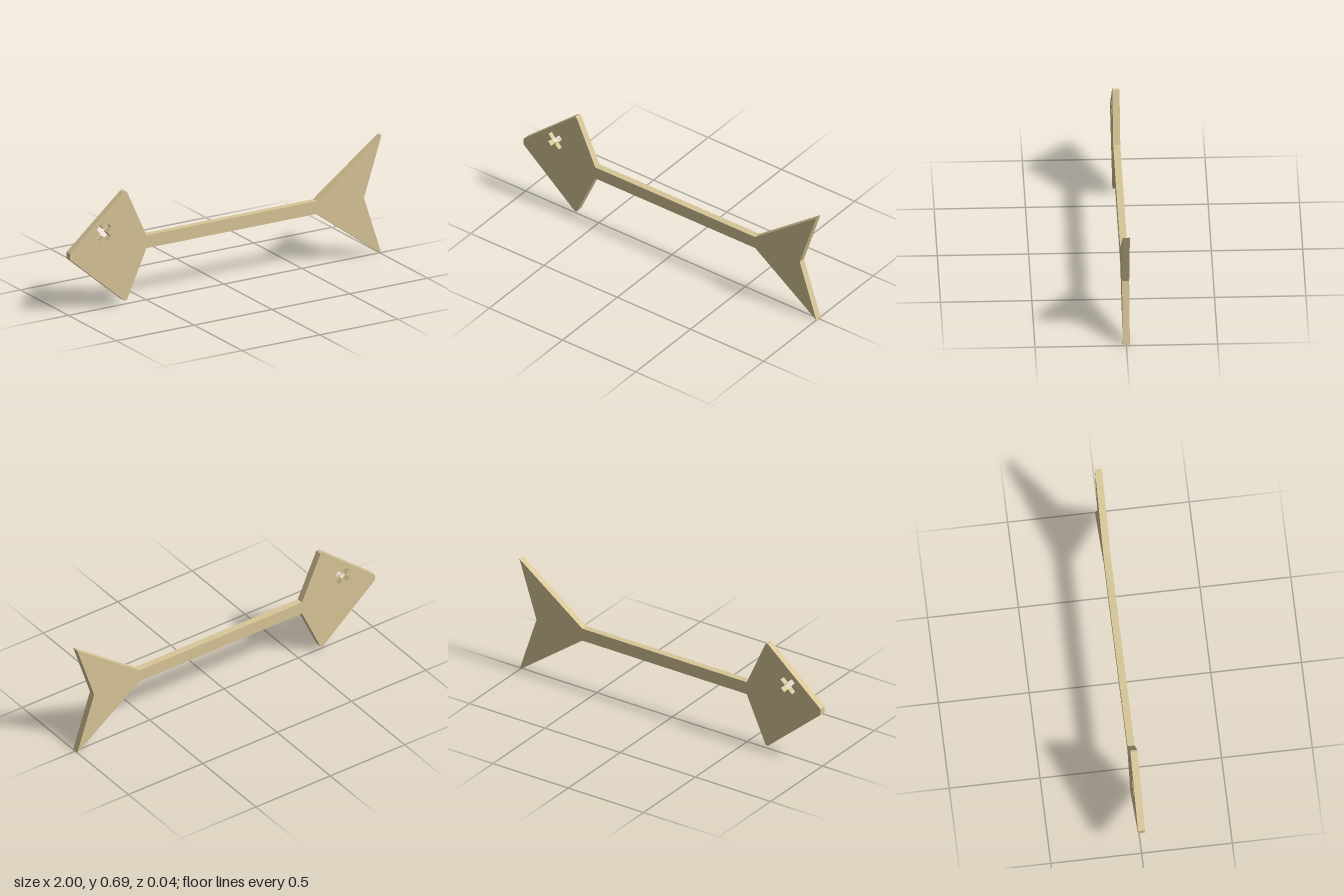
import * as THREE from 'three';

const DEPTH = 0.039;
const MID = 0.343; // height of the long axis

// Cross-shaped cut-out: four arms around a centre
function crossHole(cx, cy, reach, half, angle) {
  const points = [];
  for (let i = 0; i < 4; i++) {
    for (const [x, y] of [[half, -half], [reach, -half], [reach, half]]) {
      const p = new THREE.Vector2(x, y);
      p.rotateAround(new THREE.Vector2(), angle + i * Math.PI / 2);
      points.push(new THREE.Vector2(cx + p.x, cy + p.y));
    }
  }
  return new THREE.Path(points);
}

export function createModel() {
  const group = new THREE.Group();
  group.name = 'flatFishArrow';

  // Upper half of the outline, from blunt nose to tail tip: x, height above the axis
  const upper = [
    [-1, 0.018], [-0.655, 0.312], [-0.645, 0.317], [-0.635, 0.312],
    [-0.51, 0.037], [0.583, 0.037], [1, 0.343],
  ];
  const outline = [
    ...upper.map(([x, h]) => new THREE.Vector2(x, MID + h)),
    new THREE.Vector2(0.887, MID), // tail notch
    ...upper.slice().reverse().map(([x, h]) => new THREE.Vector2(x, MID - h)),
  ];

  // Head, shaft and tail are one flat plate with the eye cut through
  const shape = new THREE.Shape(outline);
  shape.holes.push(crossHole(-0.783, 0.442, 0.052, 0.0155, THREE.MathUtils.degToRad(42)));
  const geometry = new THREE.ExtrudeGeometry(shape, { depth: DEPTH, bevelEnabled: false });
  geometry.translate(0, 0, -DEPTH / 2);

  const material = new THREE.MeshStandardMaterial({ color: 0xd8c698 });
  const plate = new THREE.Mesh(geometry, material);
  plate.name = 'fishPlate';
  group.add(plate);
  return group;
}
